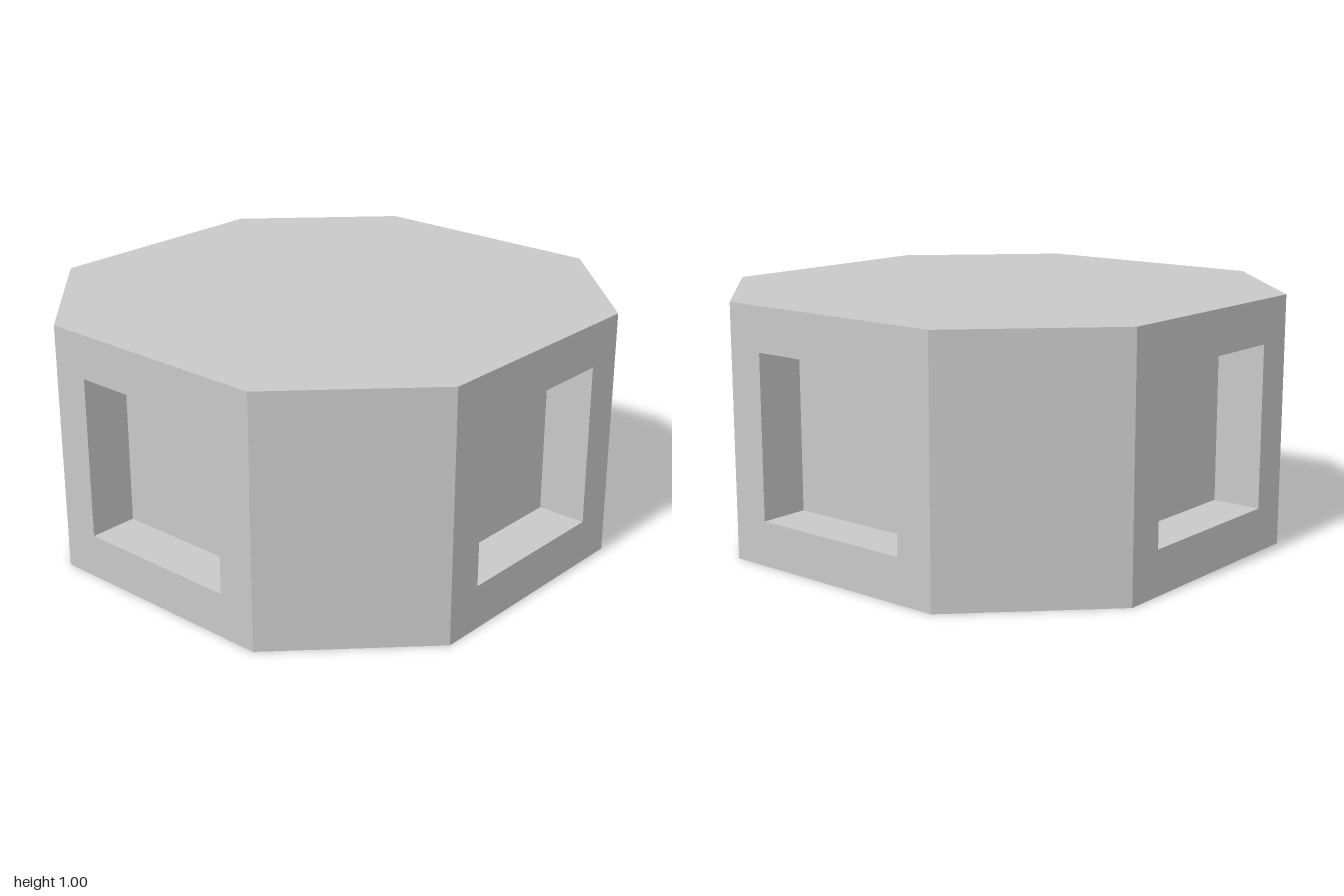
import * as THREE from 'three';

const HALF = 1, SIDE = 0.5, HEIGHT = 1;                 // octagon reach, half width of a main wall, height
const OPEN_X = 0.345, OPEN_Y0 = 0.177, OPEN_Y1 = 0.825; // window opening
const DEPTH = 0.2;                                      // how far each window is sunk

export function createModel() {
  const stone = new THREE.MeshStandardMaterial({ color: 0xc8c8c8 });
  const model = new THREE.Group();
  model.name = 'octagonalBlock';

  function add(parent, name, geometry, position = [0, 0, 0], rotation = [0, 0, 0]) {
    const mesh = new THREE.Mesh(geometry, stone);
    mesh.name = name;
    mesh.position.set(...position);
    mesh.rotation.set(...rotation);
    parent.add(mesh);
    return mesh;
  }
  const plane = (w, h) => new THREE.PlaneGeometry(w, h);
  const outline = (points) => points.map(([x, y]) => new THREE.Vector2(x, y));

  // Top and bottom
  const octagon = new THREE.ShapeGeometry(new THREE.Shape(outline([
    [SIDE, -HALF], [HALF, -SIDE], [HALF, SIDE], [SIDE, HALF],
    [-SIDE, HALF], [-HALF, SIDE], [-HALF, -SIDE], [-SIDE, -HALF],
  ])));
  add(model, 'top', octagon, [0, HEIGHT, 0], [-Math.PI / 2, 0, 0]);
  add(model, 'bottom', octagon, [0, 0, 0], [Math.PI / 2, 0, 0]);

  // Main wall with a rectangular opening
  const wall = new THREE.Shape(outline([[-SIDE, 0], [SIDE, 0], [SIDE, HEIGHT], [-SIDE, HEIGHT]]));
  wall.holes.push(new THREE.Path(outline([
    [-OPEN_X, OPEN_Y0], [-OPEN_X, OPEN_Y1], [OPEN_X, OPEN_Y1], [OPEN_X, OPEN_Y0],
  ])));
  const frame = new THREE.ShapeGeometry(wall);

  const openW = OPEN_X * 2, openH = OPEN_Y1 - OPEN_Y0, midY = (OPEN_Y0 + OPEN_Y1) / 2;
  const midZ = HALF - DEPTH / 2;
  const cornerWidth = (HALF - SIDE) * Math.SQRT2;
  const cornerReach = (HALF + SIDE) / Math.SQRT2;

  ['front', 'left', 'back', 'right'].forEach((name, i) => {
    const side = new THREE.Group();
    side.name = name + 'Side';
    side.rotation.y = i * Math.PI / 2;
    model.add(side);

    add(side, name + 'Wall', frame, [0, 0, HALF]);

    // Sunken window: back panel, sill, lintel and two jambs
    add(side, name + 'WindowPanel', plane(openW, openH), [0, midY, HALF - DEPTH]);
    add(side, name + 'WindowSill', plane(openW, DEPTH), [0, OPEN_Y0, midZ], [-Math.PI / 2, 0, 0]);
    add(side, name + 'WindowLintel', plane(openW, DEPTH), [0, OPEN_Y1, midZ], [Math.PI / 2, 0, 0]);
    for (const s of [-1, 1]) {
      add(side, name + 'WindowJamb', plane(DEPTH, openH), [s * OPEN_X, midY, midZ], [0, -s * Math.PI / 2, 0]);
    }

    // Plain diagonal wall beside it
    const corner = new THREE.Group();
    corner.name = name + 'Corner';
    corner.rotation.y = Math.PI / 4;
    side.add(corner);
    add(corner, name + 'CornerWall', plane(cornerWidth, HEIGHT), [0, HEIGHT / 2, cornerReach]);
  });

  return model;
}
